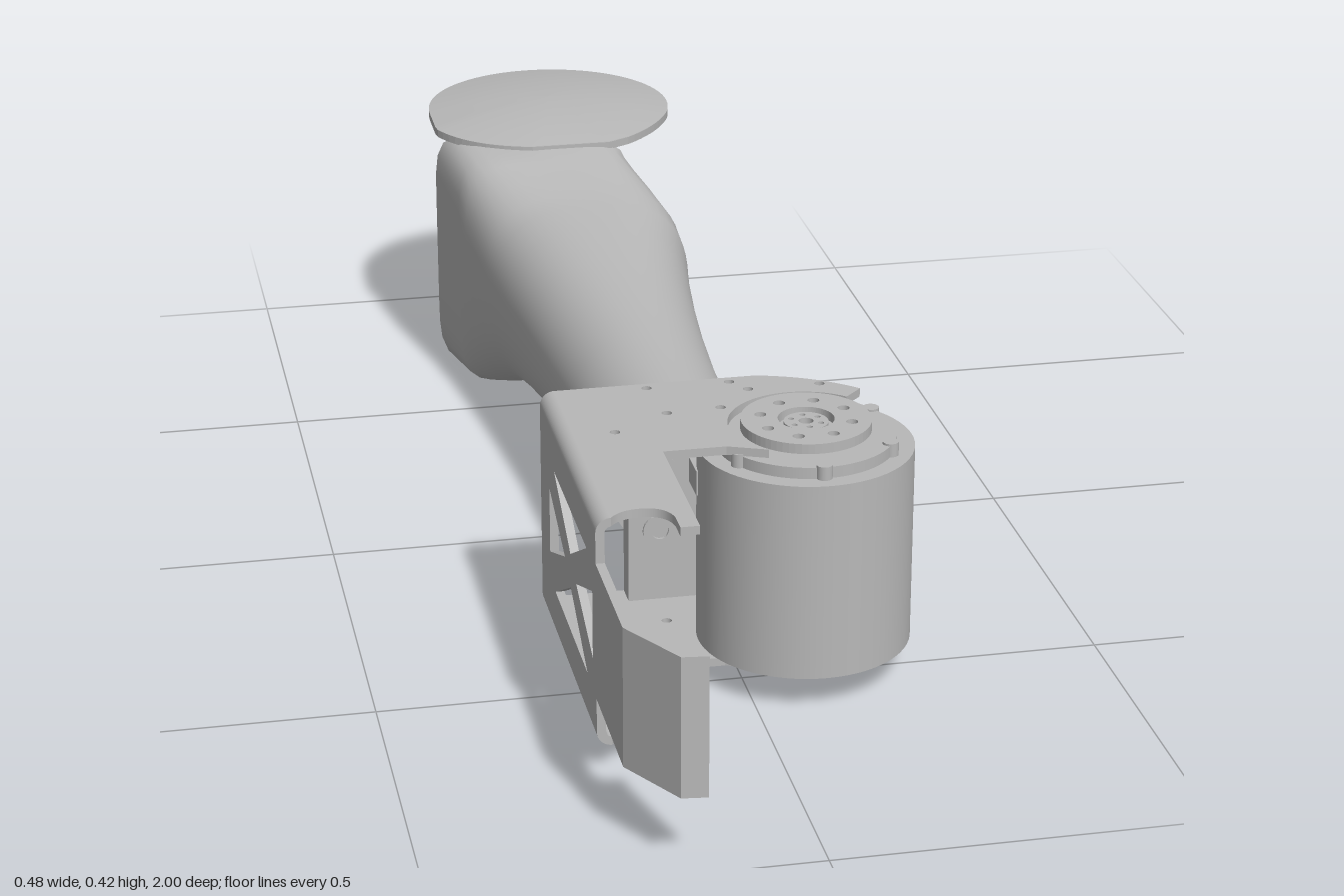
import * as THREE from 'three';

const metal = new THREE.MeshStandardMaterial({ color: 0xb8b8b8, side: THREE.DoubleSide });
metal.name = 'light grey metal';

const MX = 0.091, MZ = 0.472; // motor axis

function add(group, name, geometry, x = 0, y = 0, z = 0) {
  const mesh = new THREE.Mesh(geometry, metal);
  mesh.name = name;
  mesh.position.set(x, y, z);
  group.add(mesh);
  return mesh;
}

// Flat plate from a shape drawn in (x, z), lying between yBottom and yTop
function slab(shape, yBottom, yTop) {
  const g = new THREE.ExtrudeGeometry(shape, { depth: yTop - yBottom, bevelEnabled: false, curveSegments: 32 });
  return g.rotateX(Math.PI / 2).translate(0, yTop, 0);
}

const polygon = pts => new THREE.Shape(pts.map(p => new THREE.Vector2(...p)));

function punch(shape, x, y, r) {
  shape.holes.push(new THREE.Path().absarc(x, y, r, 0, Math.PI * 2, true));
}

function punchRing(shape, count, radius, r) {
  for (let i = 0; i < count; i++) {
    const a = (i + 0.5) / count * Math.PI * 2;
    punch(shape, Math.cos(a) * radius, Math.sin(a) * radius, r);
  }
}

// Smooth skin through closed rows of points
function loft(rows) {
  const n = rows[0].length, index = [];
  for (let s = 0; s < rows.length - 1; s++) {
    for (let i = 0; i < n; i++) {
      const a = s * n + i, b = s * n + (i + 1) % n;
      index.push(a, a + n, b, b, a + n, b + n);
    }
  }
  const g = new THREE.BufferGeometry().setFromPoints(rows.flat());
  g.setIndex(index);
  g.computeVertexNormals();
  return g;
}

// End face made of strips between the upper and lower half of a row
function cap(row, facesBack) {
  const n = row.length, pts = [];
  for (let i = 0; i < n / 2; i++) {
    const u = row[i], v = row[i + 1], l = row[(n - i) % n], m = row[n - i - 1];
    pts.push(...(facesBack ? [u, l, v, l, m, v] : [u, v, l, l, v, m]));
  }
  const g = new THREE.BufferGeometry().setFromPoints(pts);
  g.computeVertexNormals();
  return g;
}

function buildArm() {
  const arm = new THREE.Group();
  arm.name = 'arm';
  // z, left x, right x, bottom y, top y, squareness
  const sections = [
    [0.30, -0.143, 0.07, 0.1, 0.31, 2], [0.15, -0.143, 0.07, 0.097, 0.313, 2],
    [0, -0.147, 0.075, 0.088, 0.319, 2.05], [-0.13, -0.157, 0.083, 0.078, 0.328, 2.15],
    [-0.25, -0.168, 0.094, 0.067, 0.338, 2.3], [-0.36, -0.181, 0.107, 0.056, 0.35, 2.5],
    [-0.43, -0.19, 0.118, 0.049, 0.358, 2.8], [-0.47, -0.196, 0.117, 0.045, 0.364, 3.1],
    [-0.52, -0.205, 0.1, 0.034, 0.374, 3.8], [-0.57, -0.215, 0.077, 0.015, 0.386, 5],
    [-0.6, -0.222, 0.063, 0.006, 0.393, 6.5], [-0.62, -0.24, 0.058, 0.003, 0.397, 8]
  ];
  const n = 64;
  const rows = sections.map(([z, x0, x1, y0, y1, e], s) => Array.from({ length: n }, (_, i) => {
    const a = i / n * Math.PI * 2, c = Math.cos(a), d = Math.sin(a);
    const r = (Math.abs(c) ** e + Math.abs(d) ** e) ** (-1 / e);
    const x = (x0 + x1) / 2 + c * r * (x1 - x0) / 2;
    // the last section sweeps back into a fin on one side
    const fin = s === sections.length - 1 ? Math.max(0, -0.08 - x) * 0.1 / 0.16 : 0;
    return new THREE.Vector3(x, (y0 + y1) / 2 + d * r * (y1 - y0) / 2, z - fin);
  }));
  add(arm, 'armSkin', loft(rows));
  add(arm, 'armFrontCap', cap(rows[0], false));
  add(arm, 'armBackFace', cap(rows[rows.length - 1], true));
  return arm;
}

function buildPad() {
  const pad = new THREE.Group();
  pad.name = 'pad';
  const s = new THREE.Shape();
  s.moveTo(0.06, -0.625);
  s.quadraticCurveTo(0.11, -0.665, 0.139, -0.725);
  s.absarc(-0.04, -0.804, 0.196, 0.415, -Math.PI, true);
  s.lineTo(-0.237, -0.725);
  s.quadraticCurveTo(-0.2, -0.63, -0.1, -0.606);
  s.lineTo(0.04, -0.606);
  const outline = s.getSpacedPoints(80).slice(0, -1);
  add(pad, 'padBase', slab(new THREE.Shape(outline), 0.388, 0.4));
  const rows = [0.001, 0.2, 0.4, 0.6, 0.8, 1].map(t => outline.map(p => new THREE.Vector3(
    -0.04 + (p.x + 0.04) * t, 0.401 + 0.018 * (1 - t * t), -0.8 + (p.y + 0.8) * t)));
  add(pad, 'padDome', loft(rows));
  return pad;
}

// Bracket flange, cut around the motor hub
function flangeShape() {
  const s = new THREE.Shape();
  s.moveTo(-0.22, 0.3);
  s.lineTo(0.06, 0.3);
  s.quadraticCurveTo(0.14, 0.32, 0.19, 0.373);
  s.absarc(MX, MZ, 0.105, -0.785, -4.0, true);
  s.lineTo(-0.03, 0.53);
  s.lineTo(-0.115, 0.53);
  s.lineTo(-0.115, 0.765);
  s.lineTo(-0.14, 0.765);
  s.lineTo(-0.14, 0.735);
  s.quadraticCurveTo(-0.145, 0.7, -0.18, 0.7);
  s.quadraticCurveTo(-0.205, 0.7, -0.22, 0.72);
  for (const [x, z] of [[-0.165, 0.455], [-0.085, 0.405], [-0.095, 0.315], [0.02, 0.315], [0.04, 0.345], [-0.01, 0.4], [0.14, 0.345]])
    punch(s, x, z, 0.007);
  return s;
}

function buildBracket() {
  const b = new THREE.Group();
  b.name = 'bracket';
  const t = 0.012;
  add(b, 'topFlange', slab(flangeShape(), 0.35, 0.362));
  add(b, 'bottomFlange', slab(flangeShape(), 0.04, 0.052));

  // side wall with crossed braces, drawn in (z, y)
  const wall = polygon([[0.3, 0.06], [0.72, 0.06], [0.72, 0.342], [0.3, 0.342]]);
  for (const tri of [
    [[0.695, 0.155], [0.695, 0.25], [0.575, 0.203]], [[0.37, 0.155], [0.37, 0.25], [0.49, 0.203]],
    [[0.41, 0.292], [0.655, 0.292], [0.533, 0.227]], [[0.41, 0.113], [0.655, 0.113], [0.533, 0.178]]
  ]) wall.holes.push(polygon(tri));
  const wallGeo = new THREE.ExtrudeGeometry(wall, { depth: t, bevelEnabled: false });
  add(b, 'sideWall', wallGeo.rotateY(-Math.PI / 2), -0.24 + t);

  // rounded bends joining the wall to the flanges
  for (const [y, a] of [[0.342, Math.PI / 2], [0.06, Math.PI]]) {
    const s = new THREE.Shape();
    s.absarc(-0.22, y, 0.02, a, a + Math.PI / 2, false);
    s.absarc(-0.22, y, 0.02 - t, a + Math.PI / 2, a, true);
    const bend = new THREE.ExtrudeGeometry(s, { depth: 0.42, bevelEnabled: false });
    add(b, 'bend', bend, 0, 0, 0.3);
  }

  // bent tongue at the front
  const tongue = polygon([
    [-0.24, 0.71], [-0.228, 0.71], [-0.228, 0.897], [-0.178, 0.984], [-0.152, 0.988],
    [-0.152, 0.999], [-0.186, 0.995], [-0.24, 0.903]
  ]);
  add(b, 'tongue', slab(tongue, 0.108, 0.3));

  // upright mount between motor and arm, with two screws
  add(b, 'mountBlock', new THREE.BoxGeometry(0.175, 0.3, 0.035), -0.0375, 0.201, 0.318);
  for (const y of [0.157, 0.247]) {
    const washer = new THREE.Shape().absarc(0, 0, 0.024, 0, Math.PI * 2);
    punch(washer, 0, 0, 0.012);
    add(b, 'washer', new THREE.ExtrudeGeometry(washer, { depth: 0.005, bevelEnabled: false }), -0.081, y, 0.335);
  }
  return b;
}

function buildMotor() {
  const m = new THREE.Group();
  m.name = 'motor';
  m.position.set(MX, 0, MZ);
  const drum = (name, r, y0, y1) =>
    add(m, name, new THREE.CylinderGeometry(r, r, y1 - y0, 64), 0, (y0 + y1) / 2, 0);
  drum('motorBody', 0.146, 0.053, 0.333);
  drum('topCollar', 0.121, 0.333, 0.349);
  drum('topHub', 0.07, 0.349, 0.355);
  drum('bottomHub', 0.06, 0.046, 0.053);
  add(m, 'connector', new THREE.BoxGeometry(0.02, 0.035, 0.05), -0.138, 0.283, -0.03);

  // perforated output disc
  const disc = new THREE.Shape().absarc(0, 0, 0.088, 0, Math.PI * 2);
  punchRing(disc, 8, 0.062, 0.008);
  punch(disc, 0, 0, 0.038);
  add(m, 'outputDisc', slab(disc, 0.354, 0.368));
  const hub = new THREE.Shape().absarc(0, 0, 0.03, 0, Math.PI * 2);
  punchRing(hub, 6, 0.021, 0.004);
  punch(hub, 0, 0, 0.01);
  add(m, 'outputHub', slab(hub, 0.354, 0.364));

  // bottom ring and perforated cover
  const ring = new THREE.Shape().absarc(0, 0, 0.097, 0, Math.PI * 2);
  punch(ring, 0, 0, 0.08);
  add(m, 'bottomRing', slab(ring, 0.04, 0.053));
  const cover = new THREE.Shape().absarc(0, 0, 0.07, 0, Math.PI * 2);
  punchRing(cover, 8, 0.053, 0.009);
  punchRing(cover, 4, 0.025, 0.009);
  add(m, 'bottomCover', slab(cover, 0.042, 0.047));

  // screw heads around the collar
  for (let i = 0; i < 6; i++) {
    const a = i * Math.PI / 3 + 0.55;
    add(m, 'screw', new THREE.CylinderGeometry(0.011, 0.011, 0.02, 16), Math.cos(a) * 0.118, 0.342, Math.sin(a) * 0.118);
  }
  return m;
}

export function createModel() {
  const model = new THREE.Group();
  model.name = 'armLink';
  model.add(buildArm(), buildPad(), buildBracket(), buildMotor());
  return model;
}
